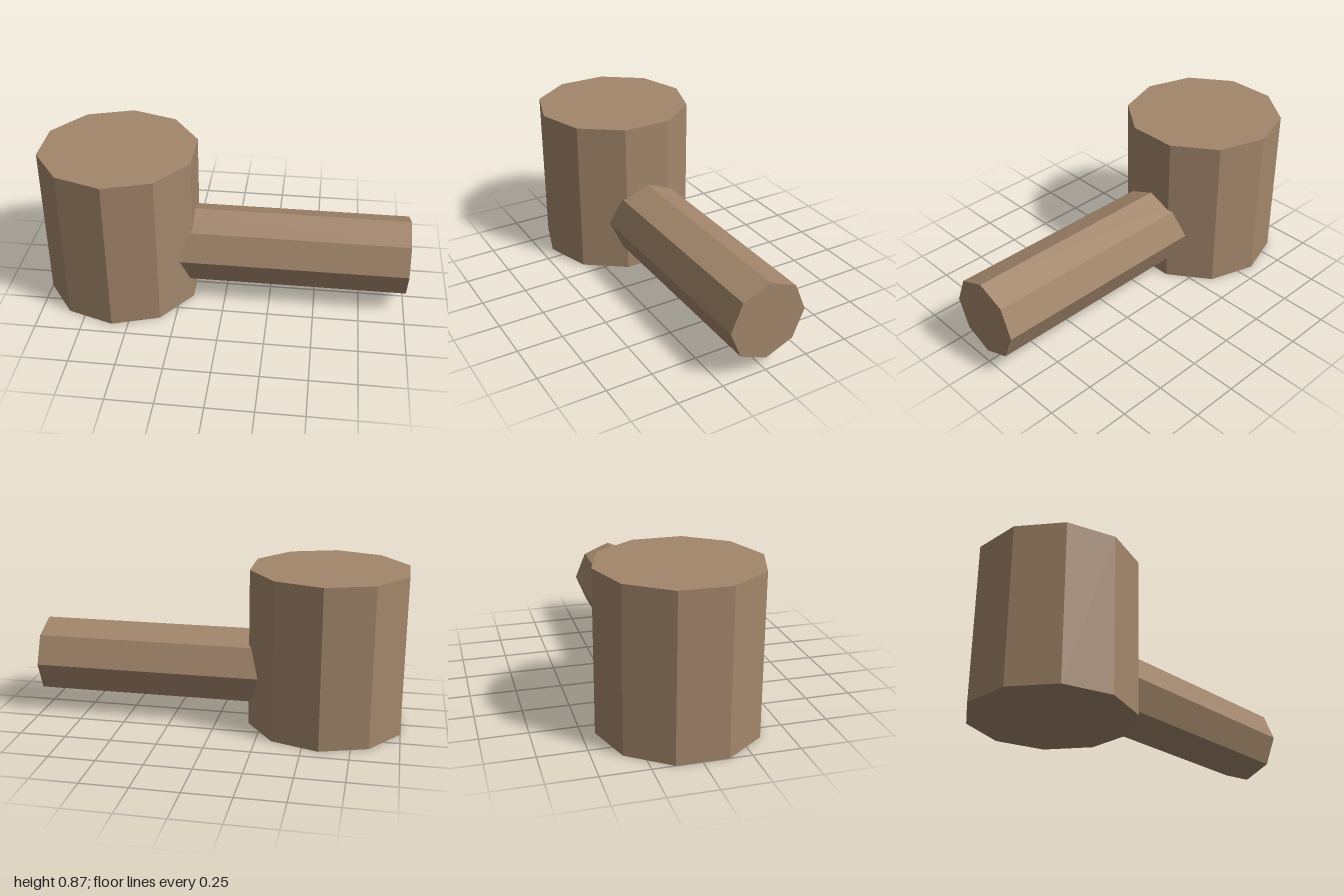
import * as THREE from 'three';

export function createModel() {
  const model = new THREE.Group();
  model.name = 'mallet';

  const wood = new THREE.MeshStandardMaterial({ color: 0xa2866b });
  wood.name = 'wood';

  // Flat-faced prism: non-indexed so every side keeps its own normal
  const prism = (name, radius, length, sides) => {
    const geometry = new THREE.CylinderGeometry(radius, radius, length, sides).toNonIndexed();
    geometry.computeVertexNormals();
    const mesh = new THREE.Mesh(geometry, wood);
    mesh.name = name;
    model.add(mesh);
    return mesh;
  };

  // Upright ten-sided head
  const head = prism('head', 0.432, 0.866, 10);
  head.position.set(-0.589, 0.433, 0);

  // Eight-sided handle, its inner end buried in the head
  const start = -0.589, end = 1;
  const handle = prism('handle', 0.216, end - start, 8);
  handle.rotation.z = -Math.PI / 2;
  handle.position.set((start + end) / 2, 0.29, 0);

  return model;
}
